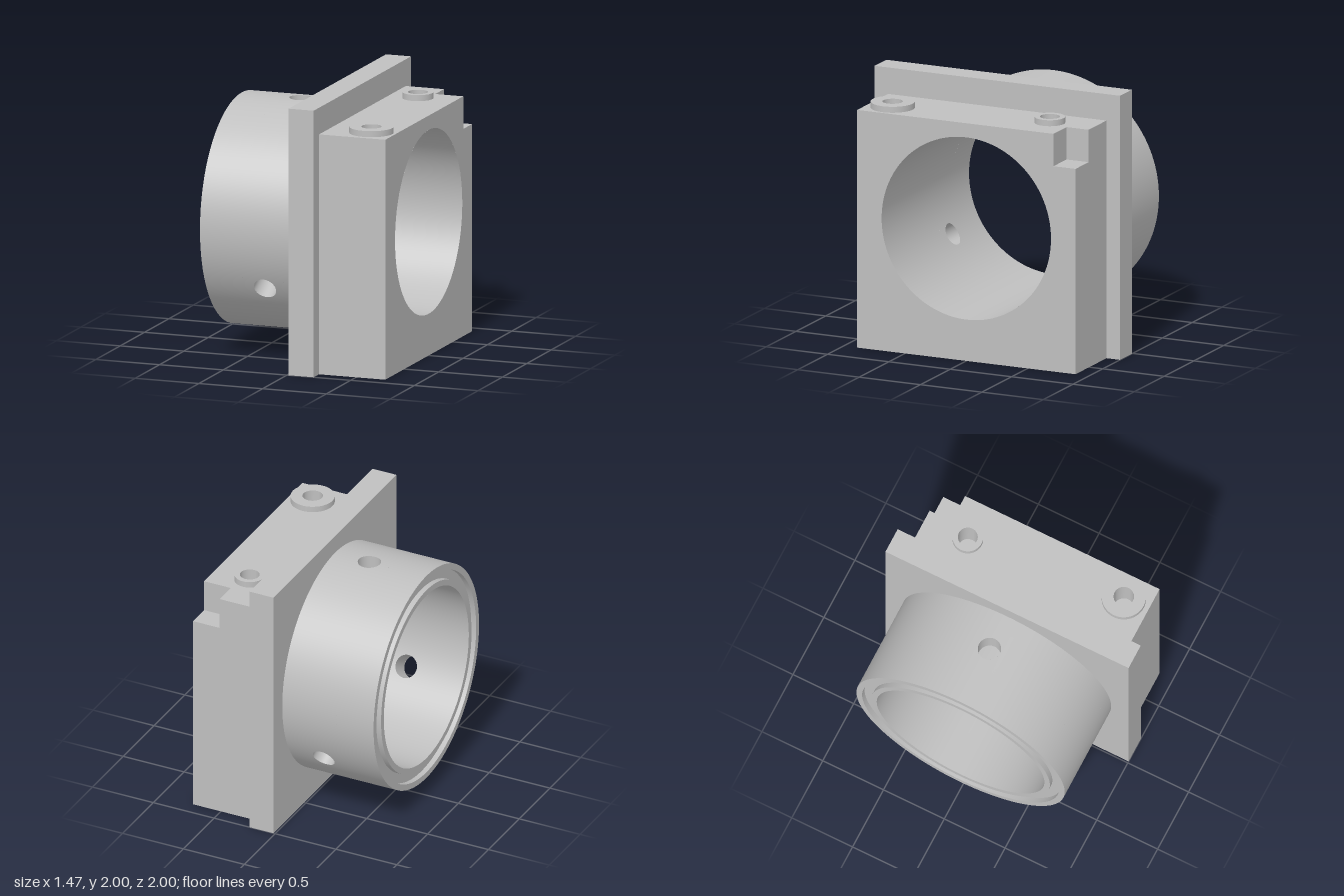
import * as THREE from 'three';
import { toCreasedNormals } from 'three/addons/utils/BufferGeometryUtils.js';
import { ParametricGeometry } from 'three/addons/geometries/ParametricGeometry.js';

const BORE = 0.69, OUTER = 0.857, AXIS_Y = 1.003;
const TUBE_END = -0.737, FLANGE_BACK = 0.013, FLANGE_FRONT = 0.21, BLOCK_FRONT = 0.73;
const HOLE_X = -0.27, HOLE_R = 0.086, PATCH = 0.16; // radial holes and the square patch around each
const HOLE_ANGLES = [0, 1, 2].map(i => i * Math.PI * 2 / 3);

// point on a cylinder about the x axis; angle 0 is straight up
function onCylinder(r, angle, x, target) {
  return target.set(x, AXIS_Y + r * Math.cos(angle), r * Math.sin(angle));
}

// smooth part of a cylinder between two angles and two x positions
function arc(r, a0, a1, x0, x1, segments) {
  return new ParametricGeometry((u, v, t) =>
    onCylinder(r, a0 + (a1 - a0) * u, x0 + (x1 - x0) * v, t), segments, 1);
}

// curved square patch with a round hole in the middle
function holePatch(r, angle) {
  return new ParametricGeometry((u, s, t) => {
    const side = Math.floor(u * 4 + 1e-9), f = (u * 4 - side) * 2 - 1;
    const [px, pv] = [[f, -1], [1, f], [-f, 1], [-1, -f]][((side % 4) + 4) % 4];
    const k = HOLE_R / Math.hypot(px, pv);
    const dx = px * (k + (PATCH - k) * s), dv = pv * (k + (PATCH - k) * s);
    onCylinder(r, angle + Math.asin(dv / r), HOLE_X + dx, t);
  }, 48, 4);
}

// wall of a drilled radial hole
function holeWall(angle) {
  return new ParametricGeometry((u, s, t) => {
    const phi = u * Math.PI * 2, v = HOLE_R * Math.sin(phi);
    const rIn = Math.sqrt(BORE * BORE - v * v), rOut = Math.sqrt(OUTER * OUTER - v * v);
    const h = rIn + (rOut - rIn) * s;
    onCylinder(Math.hypot(h, v), angle + Math.atan2(v, h), HOLE_X + HOLE_R * Math.cos(phi), t);
  }, 48, 1);
}

// rectangle whose upper right corner is cut out to (cx, cy)
function notched(x0, y0, x1, y1, cx, cy) {
  return new THREE.Shape([[x0, y0], [x1, y0], [x1, cy], [cx, cy], [cx, y1], [x0, y1]]
    .map(p => new THREE.Vector2(...p)));
}

function circle(x, y, r) {
  return new THREE.Path().absarc(x, y, r, 0, Math.PI * 2, true);
}

export function createModel() {
  const model = new THREE.Group();
  model.name = 'flangedHousing';
  const metal = new THREE.MeshStandardMaterial({ color: 0xbfbfbf, side: THREE.DoubleSide });
  metal.name = 'grey metal';
  const add = (name, geometry, parent = model) => {
    const mesh = new THREE.Mesh(geometry, metal);
    mesh.name = name;
    parent.add(mesh);
    return mesh;
  };
  const group = name => {
    const g = new THREE.Group();
    g.name = name;
    model.add(g);
    return g;
  };

  // tube with three radial holes, outer and inner walls alike
  const tube = group('tube');
  const full = Math.PI * 2;
  for (const [name, r] of [['outerWall', OUTER], ['innerWall', BORE]]) {
    add(name, arc(r, 0, full, TUBE_END, HOLE_X - PATCH, 120), tube);
    add(name, arc(r, 0, full, HOLE_X + PATCH, FLANGE_BACK, 120), tube);
    const half = Math.asin(PATCH / r);
    for (const a of HOLE_ANGLES) {
      add(name, holePatch(r, a), tube);
      add(name, arc(r, a + half, a + full / 3 - half, HOLE_X - PATCH, HOLE_X + PATCH, 36), tube);
    }
  }
  for (const a of HOLE_ANGLES) add('radialHole', holeWall(a), tube);

  // grooved end face of the tube
  const rim = [[OUTER, 0], [0.81, 0], [0.81, 0.04], [0.735, 0.04], [0.735, 0], [BORE, 0]]
    .map(([r, d]) => new THREE.Vector2(r, TUBE_END + d));
  const end = toCreasedNormals(new THREE.LatheGeometry(rim, 120), 0.5);
  end.rotateZ(-Math.PI / 2).translate(0, AXIS_Y, 0);
  add('groovedEnd', end, tube);

  // square flange; the bore lining covers its opening
  const square = new THREE.Shape([[-1, 0], [1, 0], [1, 2], [-1, 2]].map(p => new THREE.Vector2(...p)));
  square.holes.push(circle(0, AXIS_Y, BORE + 0.02));
  const flange = new THREE.ExtrudeGeometry(square,
    { depth: FLANGE_FRONT - FLANGE_BACK, bevelEnabled: false, curveSegments: 60 });
  add('flange', flange.rotateY(Math.PI / 2).translate(FLANGE_BACK, 0, 0));
  add('bore', arc(BORE, 0, full, FLANGE_BACK, BLOCK_FRONT, 120));

  // block with a notched corner, made from flat faces
  const block = group('block');
  const W = 0.89, TOP = 1.8, NX = 0.51, NY = 1.555, NZ = 0.71;
  const bosses = [[0.44, -0.54, 0.113, 0.073], [0.545, 0.69, 0.163, 0.075]]; // x, z, outer and inner radius

  const front = notched(-W, 0, W, TOP, NZ, NY);
  front.holes.push(circle(0, AXIS_Y, BORE));
  add('frontFace', new THREE.ShapeGeometry(front, 120).rotateY(Math.PI / 2).translate(BLOCK_FRONT, 0, 0), block);

  const top = notched(FLANGE_FRONT, -W, BLOCK_FRONT, W, NX, NZ);
  for (const [x, z, , r] of bosses) top.holes.push(circle(x, -z, r));
  add('topFace', new THREE.ShapeGeometry(top, 40).rotateX(-Math.PI / 2).translate(0, TOP, 0), block);

  const side = notched(FLANGE_FRONT, 0, BLOCK_FRONT, TOP, NX, NY);
  add('notchedSide', new THREE.ShapeGeometry(side).rotateY(Math.PI).scale(-1, 1, 1).translate(0, 0, -W), block)
    .geometry.computeVertexNormals();

  const depth = BLOCK_FRONT - FLANGE_FRONT, midX = (BLOCK_FRONT + FLANGE_FRONT) / 2;
  add('plainSide', new THREE.PlaneGeometry(depth, TOP).translate(midX, TOP / 2, W), block);
  add('bottomFace', new THREE.PlaneGeometry(depth, 2 * W).rotateX(Math.PI / 2).translate(midX, 0, 0), block);

  // inside of the notch
  const nd = BLOCK_FRONT - NX, nh = TOP - NY, nw = W - NZ;
  const nx = NX + nd / 2, ny = NY + nh / 2, nz = -NZ - nw / 2;
  add('notchFloor', new THREE.PlaneGeometry(nd, nw).rotateX(-Math.PI / 2).translate(nx, NY, nz), block);
  add('notchBack', new THREE.PlaneGeometry(nw, nh).rotateY(Math.PI / 2).translate(NX, ny, nz), block);
  add('notchSide', new THREE.PlaneGeometry(nd, nh).rotateY(Math.PI).translate(nx, ny, -NZ), block);

  // raised rings with blind holes on top of the block
  for (const [x, z, outer, inner] of bosses) {
    const profile = [[outer, TOP], [outer, 1.845], [inner, 1.845], [inner, 1.6], [0, 1.6]]
      .map(p => new THREE.Vector2(...p)).reverse();
    add('boss', toCreasedNormals(new THREE.LatheGeometry(profile, 48), 0.5).translate(x, 0, z));
  }
  return model;
}
